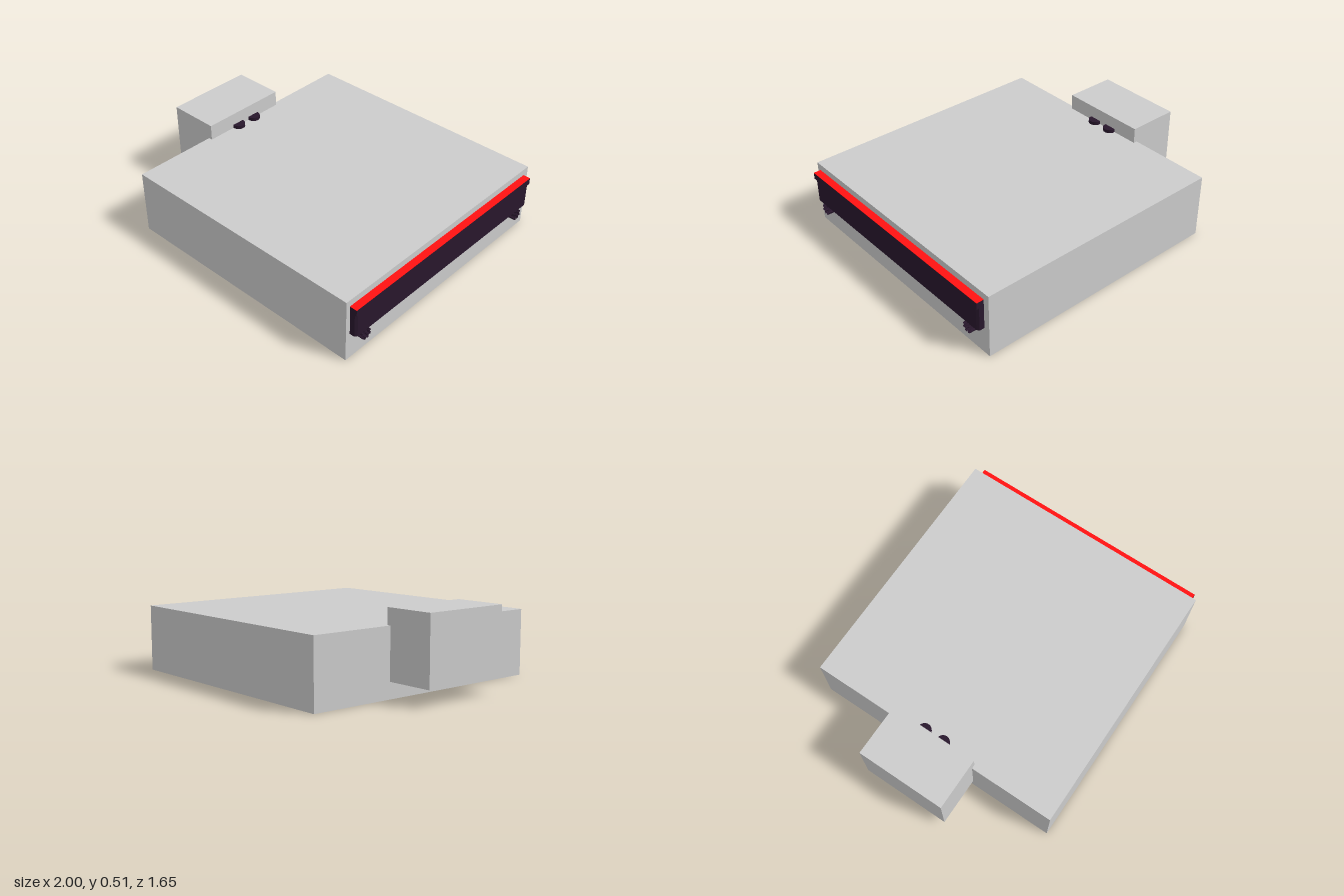
import * as THREE from 'three';

const grey = new THREE.MeshStandardMaterial({ color: 0xcccccc });
const dark = new THREE.MeshStandardMaterial({ color: 0x28172c });
const darkOpen = new THREE.MeshStandardMaterial({ color: 0x28172c, side: THREE.DoubleSide, flatShading: true });
const red = new THREE.MeshStandardMaterial({ color: 0xff1212 });

export function createModel() {
  const model = new THREE.Group();

  const add = (name, geometry, material, x = 0, y = 0, z = 0) => {
    const mesh = new THREE.Mesh(geometry, material);
    mesh.name = name;
    mesh.position.set(x, y, z);
    model.add(mesh);
    return mesh;
  };
  // Box given by its lower and upper limits on each axis
  const box = (name, material, [x0, x1], [y0, y1], [z0, z1]) =>
    add(name, new THREE.BoxGeometry(x1 - x0, y1 - y0, z1 - z0), material,
      (x0 + x1) / 2, (y0 + y1) / 2, (z0 + z1) / 2);

  // Main body and the raised housing on its right side
  box('body', grey, [-0.695, 0.953], [0, 0.414], [-0.825, 0.825]);
  box('sideHousing', grey, [-1, -0.67], [0.1, 0.514], [-0.285, 0.285]);

  // Two round buttons beside the housing
  for (const z of [0.058, -0.073])
    add('button', new THREE.CylinderGeometry(0.041, 0.041, 0.024, 32), dark, -0.664, 0.424, z);

  // Bar on the left side, with narrow chamfered ends
  const bar = new THREE.Shape([
    [0.953, -0.79], [0.985, -0.79], [0.995, -0.775],
    [0.995, 0.775], [0.985, 0.79], [0.953, 0.79],
  ].map(([x, z]) => new THREE.Vector2(x, z)));
  const barGeometry = new THREE.ExtrudeGeometry(bar, { depth: 0.155, bevelEnabled: false });
  barGeometry.rotateX(-Math.PI / 2);
  add('bar', barGeometry, dark, 0, 0.175, 0.005);

  // Rail above the bar with a red strip on top
  box('rail', dark, [0.953, 1], [0.328, 0.37], [-0.785, 0.798]);
  box('redStrip', red, [0.953, 1], [0.37, 0.372], [-0.785, 0.798]);

  // Open, hollow toothed wheels under the bar
  const teeth = 8, front = 0.998, back = 0.953;
  const outline = [];
  for (let i = 0; i < teeth; i++)
    for (const [offset, r] of [[-0.3, 0.025], [-0.2, 0.036], [0.2, 0.036], [0.3, 0.025]]) {
      const a = ((i + 0.5 + offset) / teeth) * Math.PI * 2;
      outline.push([Math.sin(a) * r, Math.cos(a) * r]);
    }
  const positions = [], index = [];
  outline.forEach(([y, z], i) => {
    const a = i * 2, b = ((i + 1) % outline.length) * 2;
    positions.push(back, y, z, front, y, z);
    index.push(a, a + 1, b, b, a + 1, b + 1);
  });
  const wheel = new THREE.BufferGeometry();
  wheel.setAttribute('position', new THREE.Float32BufferAttribute(positions, 3));
  wheel.setIndex(index);
  wheel.computeVertexNormals();
  for (const z of [0.71, -0.693]) add('toothedWheel', wheel, darkOpen, 0, 0.143, z);

  return model;
}
